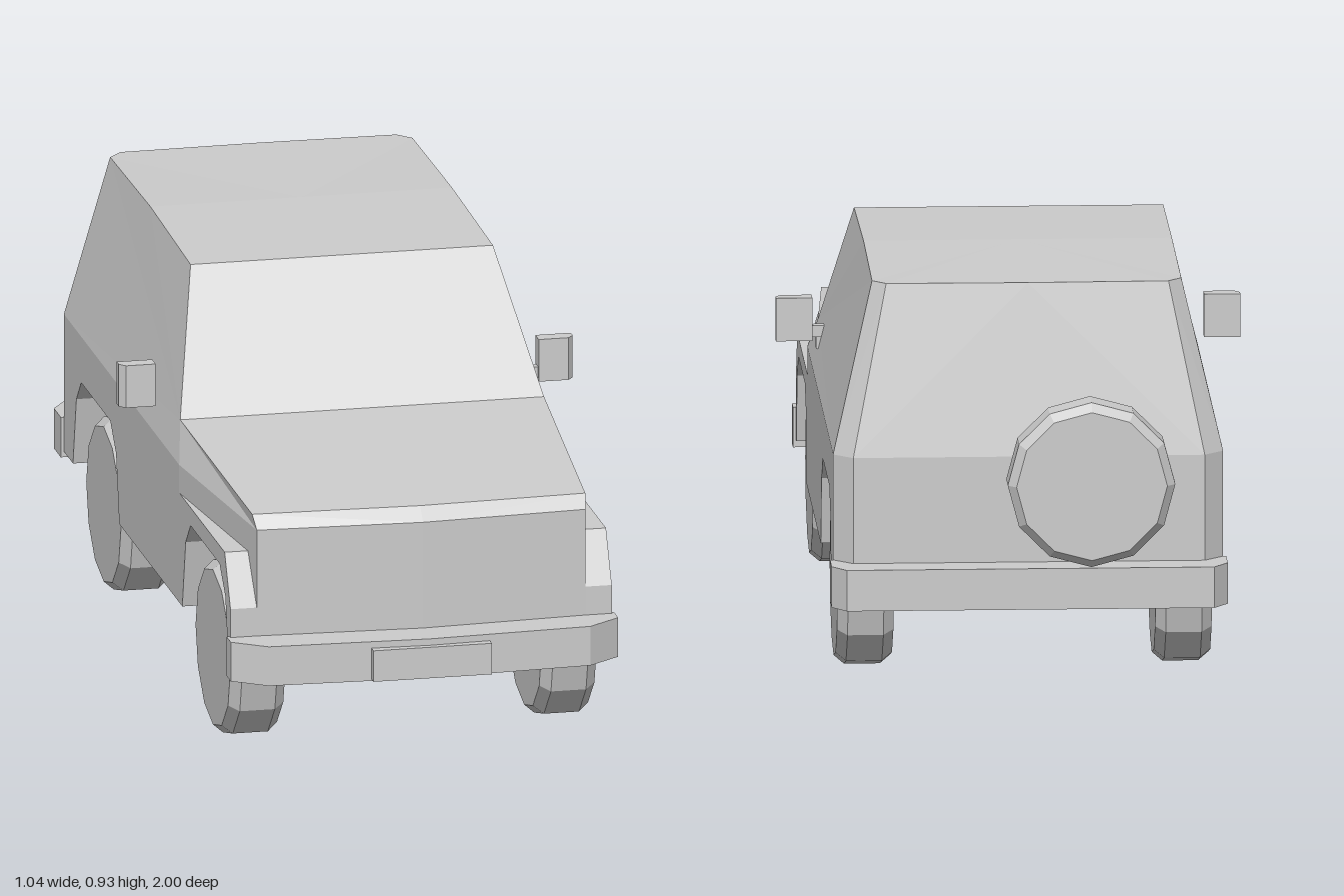
import * as THREE from 'three';
import { mergeGeometries } from 'three/addons/utils/BufferGeometryUtils.js';

const grey = new THREE.MeshStandardMaterial({ color: 0xcccccc });
grey.name = 'plain grey';

// Flat facets from convex polygons on the +x half, mirrored to the -x half
function facets(polys) {
  const pos = [];
  for (const poly of polys) {
    for (let i = 1; i < poly.length - 1; i++) {
      const tri = [poly[0], poly[i], poly[i + 1]];
      for (const p of tri) pos.push(...p);
      for (const p of [tri[0], tri[2], tri[1]]) pos.push(-p[0], p[1], p[2]);
    }
  }
  const g = new THREE.BufferGeometry();
  g.setAttribute('position', new THREE.Float32BufferAttribute(pos, 3));
  g.computeVertexNormals();
  return g;
}

// Horizontal slab from an (x, z) outline
function slab(outline, y0, y1) {
  const shape = new THREE.Shape(outline.map(([x, z]) => new THREE.Vector2(x, -z)));
  return new THREE.ExtrudeGeometry(shape, { depth: y1 - y0, bevelEnabled: false })
    .rotateX(-Math.PI / 2).translate(0, y0, 0);
}
const mirrorOutline = (half) => [...half, ...half.filter(p => p[0] > 0).reverse().map(([x, z]) => [-x, z])];

// Twelve-sided tyre with chamfered shoulders, axis along y
function tyreGeometry() {
  const profile = [[0, -0.063], [0.18, -0.063], [0.2, -0.04], [0.2, 0.04], [0.18, 0.063], [0, 0.063]];
  const g = new THREE.LatheGeometry(profile.map(p => new THREE.Vector2(...p)), 12).toNonIndexed();
  g.computeVertexNormals();
  return g;
}

export function createModel() {
  const model = new THREE.Group();
  model.name = 'offRoadCar';
  const add = (name, geometry, parent = model) => {
    const m = new THREE.Mesh(geometry, grey);
    m.name = name;
    parent.add(m);
    return m;
  };

  const W = 0.435, inner = 0.27, floorY = 0.23;
  // Grille, hood, windscreen and roof corners (0 = centre line)
  const A0 = [0, floorY, 0.9], A1 = [0.375, floorY, 0.88];
  const G0 = [0, 0.55, 0.9], G1 = [0.375, 0.55, 0.88];
  const H0 = [0, 0.58, 0.87], H1 = [0.38, 0.58, 0.855];
  const W0 = [0, 0.63, 0.27], W1 = [0.415, 0.63, 0.27];
  const R0 = [0, 0.925, 0.06], R1 = [0.345, 0.925, 0.06];
  const M0 = [0, 0.936, -0.36], M1 = [0.344, 0.936, -0.36];
  const T0 = [0, 0.93, -0.81], T2 = [0.315, 0.93, -0.805], T1 = [0.345, 0.93, -0.772];
  // Belt line and rear lower corners
  const B1 = [W, 0.55, 0.35], B2 = [W, 0.55, -0.842], B3 = [0.392, 0.55, -0.885], B0 = [0, 0.55, -0.885];
  const D2 = [W, floorY, -0.842], D3 = [0.392, floorY, -0.885], D0 = [0, floorY, -0.885];
  // Front wing ledge
  const F0 = [W, floorY, 0.88], F1 = [W, 0.37, 0.88], F2 = [0.375, 0.37, 0.88];
  const L1 = [W, 0.485, 0.35], L2 = [W, 0.485, 0.82], L3 = [0.382, 0.485, 0.82];

  const body = new THREE.Group();
  body.name = 'body';
  model.add(body);
  add('grillePanel', facets([[A0, A1, G1, G0], [A1, F0, F1, F2]]), body);
  add('hood', facets([[G0, G1, H1, H0], [H0, H1, W1, W0]]), body);
  add('windscreen', facets([[W0, W1, R1, R0]]), body);
  add('roof', facets([[R0, R1, M1, M0], [M0, M1, T1, T2, T0]]), body);
  add('cabinSides', facets([[W1, B1, B2, T1, M1, R1]]), body);
  add('frontWings', facets([[G1, B1, W1, H1], [F2, L1, B1, G1], [L2, L1, L3], [L3, F2, F1, L2]]), body);
  add('rearPillars', facets([[B2, B3, T2, T1], [D2, D3, B3, B2]]), body);
  add('tailgate', facets([[B3, B0, T0, T2], [D3, D0, B0, B3]]), body);

  // Wheel arches as (z, y) points from front to back
  const archOutline = (c) => [[0.238, floorY], [0.205, 0.385], [0.145, 0.443], [-0.155, 0.443], [-0.205, 0.39], [-0.24, floorY]]
    .map(([z, y]) => [c + z, y]);
  const wheelZ = [0.622, -0.508];
  const arches = wheelZ.map(archOutline);

  // Lower side panels with the arches cut out
  const outline = [[0.88, floorY], ...arches[0], ...arches[1], [-0.842, floorY], [-0.842, 0.55],
    [0.35, 0.55], [0.35, 0.485], [0.82, 0.485], [0.88, 0.37]];
  const contour = outline.map(([z, y]) => new THREE.Vector2(-z, y));
  const sides = THREE.ShapeUtils.triangulateShape(contour, [])
    .map(t => t.map(i => [W, contour[i].y, -contour[i].x]));
  add('lowerSides', facets(sides), body);

  // Wheel wells
  const wells = [];
  for (const arch of arches) {
    for (let i = 0; i < arch.length - 1; i++) {
      const [pz, py] = arch[i], [qz, qy] = arch[i + 1];
      wells.push([[inner, py, pz], [inner, qy, qz], [W, qy, qz], [W, py, pz]]);
    }
    wells.push([...arch].reverse().map(([z, y]) => [inner, y, z]));
  }
  add('wheelWells', facets(wells), body);

  // Underside, leaving the wells open
  const rect = (x0, x1, z0, z1) => [[x0, floorY, z0], [x1, floorY, z0], [x1, floorY, z1], [x0, floorY, z1]];
  add('floor', facets([
    rect(0, inner, -0.885, 0.885),
    rect(inner, W, arches[0][0][0], 0.88),
    rect(inner, W, arches[1][0][0], arches[0][5][0]),
    rect(inner, W, -0.842, arches[1][5][0]),
  ]), body);

  // Bumpers and number plate
  add('frontBumper', slab(mirrorOutline([[0, 0.985], [0.367, 0.968], [0.442, 0.915], [0.442, 0.872]]), 0.213, 0.304));
  add('rearBumper', slab(mirrorOutline([[0.442, -0.842], [0.442, -0.915], [0.41, -0.96]]), 0.217, 0.31));
  add('numberPlate', new THREE.BoxGeometry(0.27, 0.072, 0.03).translate(0, 0.253, 0.985));

  // Wheels and spare
  const tyre = tyreGeometry();
  const wheel = tyre.clone().rotateZ(Math.PI / 2);
  wheelZ.forEach((z, i) => {
    for (const s of [1, -1]) {
      add((i ? 'rear' : 'front') + 'Wheel' + (s > 0 ? 'Left' : 'Right'), wheel).position.set(s * 0.355, 0.205, z);
    }
  });
  const spare = add('spareWheel', tyre.clone().rotateX(Math.PI / 2));
  spare.scale.set(0.935, 0.935, 0.9);
  spare.position.set(-0.135, 0.503, -0.941);

  // Door mirrors, with a short arm on the left one
  const housing = [[0.437, 0.08], [0.518, 0.08], [0.518, 0.1], [0.505, 0.116], [0.437, 0.116]];
  const mirrorAt = (s) => slab(housing.map(([x, z]) => [s * x, z]), 0.618, 0.716);
  add('mirrorRight', mirrorAt(-1));
  add('mirrorLeft', mergeGeometries([
    mirrorAt(1),
    new THREE.BoxGeometry(0.04, 0.026, 0.02).translate(0.428, 0.638, 0.1).toNonIndexed(),
    new THREE.BoxGeometry(0.02, 0.05, 0.02).translate(0.418, 0.622, 0.105).toNonIndexed(),
  ]));

  return model;
}
